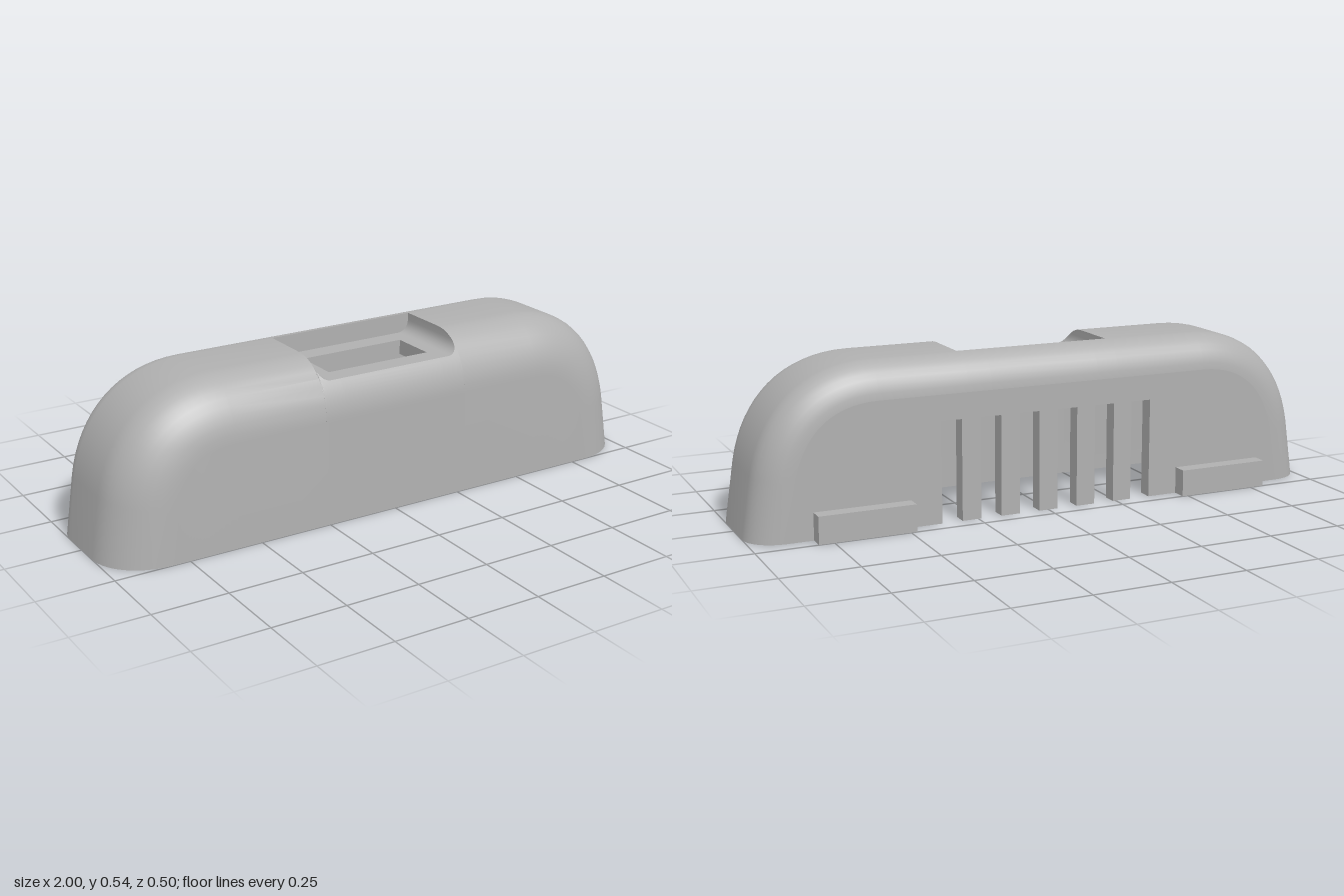
import * as THREE from 'three';
import { toCreasedNormals } from 'three/addons/utils/BufferGeometryUtils.js';

const H = 0.535, WALL = 0.05, BACK = 8, FRONT = 10;
const RECESS_BACK = -0.1, FRONT_START = 0.08;
const HOLE = { x0: -0.18, x1: 0.2, z0: -0.03, z1: 0.13 };

// Surface from a grid of points: columns of equal length, with optional gaps
function gridGeometry(cols, flip = false, skip = () => false) {
  const n = cols[0].length, index = [];
  for (let i = 0; i < cols.length - 1; i++) {
    for (let r = 0; r < n - 1; r++) {
      if (skip(i, r)) continue;
      const a = i * n + r, b = a + 1, d = a + n, c = d + 1;
      index.push(...(flip ? [a, c, b, a, d, c] : [a, b, c, a, c, d]));
    }
  }
  const g = new THREE.BufferGeometry();
  g.setAttribute('position', new THREE.Float32BufferAttribute(cols.flat(2), 3));
  g.setIndex(index);
  return toCreasedNormals(g, 0.6);
}

// Half silhouette, mirrored, with the recess outline dipping from the flat top
function makeColumns() {
  const curve = new THREE.CubicBezierCurve(
    new THREE.Vector2(-0.97, 0.2), new THREE.Vector2(-0.935, 0.4),
    new THREE.Vector2(-0.8, H), new THREE.Vector2(-0.58, H));
  const left = [{ x: -1, y: 0, nx: -1, ny: 0, cut: 0 }];
  for (let k = 0; k <= 16; k++) {
    const p = curve.getPoint(k / 16), t = curve.getTangent(k / 16);
    left.push({ x: p.x, y: p.y, nx: -t.y, ny: t.x, cut: 0 });
  }
  const right = left.map(p => ({ ...p, x: -p.x, nx: -p.nx })).reverse();
  const dip = [[-0.255, 0]];
  for (let k = 0; k <= 5; k++) {
    const a = k / 5 * Math.PI / 2;
    dip.push([-0.215 - 0.04 * Math.cos(a), 0.025 + 0.04 * Math.sin(a)]);
  }
  dip.push([HOLE.x0, 0.065]);
  const all = [...dip, ...dip.map(([x, c]) => [0.025 - x, c]).reverse()];
  all.forEach(p => { if (Math.abs(p[0] - 0.205) < 1e-6) p[0] = HOLE.x1; });
  const top = all.map(([x, cut]) => ({ x, y: H, nx: 0, ny: 1, cut, recess: true }));
  return [...left, ...top, ...right];
}

// Inset point with the slight lean of the front face
function insetPoint(c, d, z) {
  const x = c.x - c.nx * d, y = c.y - c.ny * d;
  const lean = 0.01 * Math.max(0, 1 - y / 0.345) * Math.max(0, (z - FRONT_START) / 0.16);
  return [x, y, z + lean];
}

// Section of the shell along z, from back fillet to front foot
function sections(columns, wall) {
  return columns.map(c => {
    const pts = [];
    for (let k = BACK; k >= 0; k--) {
      const a = k / BACK * Math.PI / 2;
      pts.push(insetPoint(c, wall + (0.115 - wall) * (1 - Math.cos(a)),
        RECESS_BACK - (0.1 - wall) * Math.sin(a)));
    }
    const depth = 0.19 - wall, a0 = Math.acos(1 - c.cut / depth);
    for (let k = 0; k <= FRONT; k++) {
      const a = a0 + (Math.PI / 2 - a0) * k / FRONT;
      pts.push(insetPoint(c, wall + depth * (1 - Math.cos(a)),
        FRONT_START + (0.16 - wall) * Math.sin(a)));
    }
    const [x] = pts[pts.length - 1];
    pts.push(insetPoint({ x, y: 0, nx: 0, ny: 0 }, 0, FRONT_START + 0.16 - wall));
    return pts;
  });
}

export function createModel() {
  const group = new THREE.Group();
  const grey = new THREE.MeshStandardMaterial({ color: 0xb0b0b0 });
  grey.name = 'grey plastic';
  const add = (name, geometry) => {
    const mesh = new THREE.Mesh(geometry, grey);
    mesh.name = name;
    group.add(mesh);
    return mesh;
  };

  const columns = makeColumns();
  const isRecess = i => columns[i].recess && columns[i + 1].recess;
  const outer = sections(columns, 0), inner = sections(columns, WALL);
  const gap = (i, r) => r === BACK && isRecess(i);
  add('outerShell', gridGeometry(outer, false, gap));
  add('innerShell', gridGeometry(inner, true, gap));

  // Recess in the top, with its window
  for (const [name, shell, wall, flip] of [['recess', outer, 0, false], ['recessUnderside', inner, WALL, true]]) {
    const exits = shell.filter((_, i) => columns[i].recess).map(s => s[BACK + 1]);
    const floor = exits.map(([x, y, z]) =>
      [RECESS_BACK, HOLE.z0, Math.min(HOLE.z1, z), z].map(v => [x, y, v]));
    add(name + 'Floor', gridGeometry(floor, flip, (i, r) =>
      r === 1 && Math.abs(exits[i][0] - HOLE.x0) < 1e-6 && Math.abs(exits[i + 1][0] - HOLE.x1) < 1e-6));
    add(name + 'BackWall', gridGeometry(
      exits.map(([x, y]) => [[x, H - wall, RECESS_BACK], [x, y, RECESS_BACK]]), flip));
  }
  const { x0, x1, z0, z1 } = HOLE;
  add('windowEdge', gridGeometry([[x0, z0], [x1, z0], [x1, z1], [x0, z1], [x0, z0]]
    .map(([x, z]) => [[x, 0.47, z], [x, 0.42, z]])));

  // Bottom rim
  const outline = s => [...s[0], ...[...s[s.length - 1]].reverse()];
  const innerLine = outline(inner);
  add('bottomRim', gridGeometry(outline(outer).map((p, i) => [p, innerLine[i]])));

  // Back panel with six vent slots open at the bottom
  const panel = new THREE.Shape();
  outer.forEach((s, i) => (i ? panel.lineTo(s[0][0], s[0][1]) : panel.moveTo(s[0][0], s[0][1])));
  for (let k = 5; k >= 0; k--) {
    const x = (k - 2.5) * 0.136;
    panel.lineTo(x + 0.035, 0);
    panel.lineTo(x + 0.035, 0.335);
    panel.lineTo(x - 0.035, 0.335);
    panel.lineTo(x - 0.035, 0);
  }
  const panelGeo = new THREE.ExtrudeGeometry(panel, { depth: WALL, bevelEnabled: false });
  add('ventedBackPanel', panelGeo).position.z = -0.2;

  // Floor plate inside one end
  const plate = new THREE.Shape([[0.78, 0.2], [0.8, 0.2], [0.9, 0.14], [0.95, 0.08], [0.95, -0.1],
    [0.9, -0.15], [0.58, -0.15], [0.58, -0.1], [0.78, -0.1]].map(([x, z]) => new THREE.Vector2(x, -z)));
  const plateGeo = new THREE.ExtrudeGeometry(plate, { depth: 0.05, bevelEnabled: false });
  plateGeo.rotateX(-Math.PI / 2);
  add('endFloorPlate', plateGeo);

  // Mounting tabs on the back
  for (const side of [-1, 1]) {
    const tab = add(side > 0 ? 'leftTab' : 'rightTab', new THREE.BoxGeometry(0.32, 0.09, 0.05));
    tab.position.set(side * 0.64, 0.045, -0.225);
  }
  return group;
}
